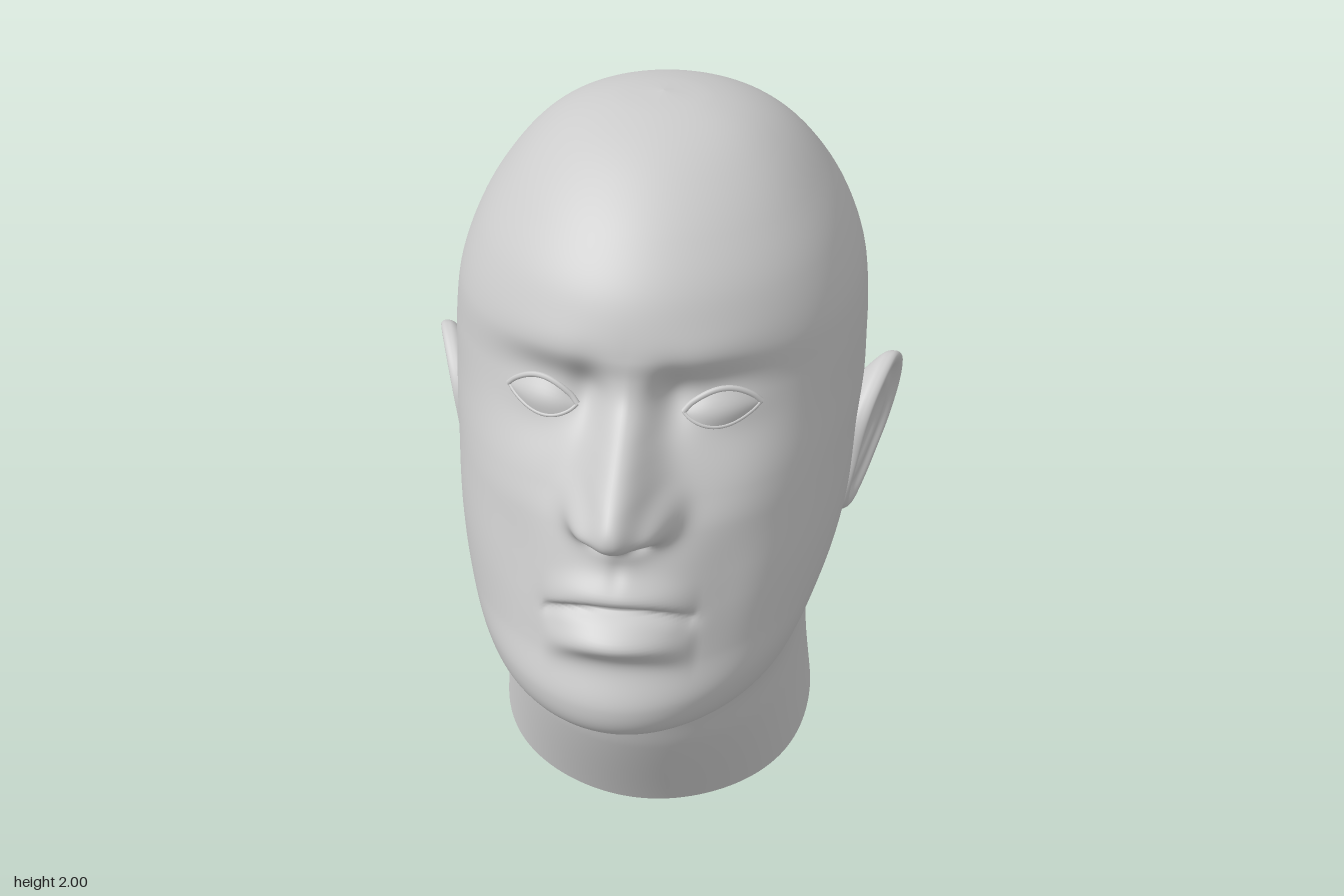
import * as THREE from 'three';
import { mergeVertices } from 'three/addons/utils/BufferGeometryUtils.js';

const material = new THREE.MeshStandardMaterial({ color: 0xcccccc, side: THREE.DoubleSide });
const gauss = (d, s) => Math.exp(-(d * d) / (s * s));

// Smooth skin over a grid of points: point(u, v) with u along a row, v from row to row
function loft(cols, rows, point) {
  const pos = [], index = [];
  for (let i = 0; i <= rows; i++)
    for (let j = 0; j <= cols; j++) pos.push(...point(j / cols, i / rows));
  for (let i = 0; i < rows; i++)
    for (let j = 0; j < cols; j++) {
      const a = i * (cols + 1) + j, b = a + 1, c = a + cols + 1, d = c + 1;
      index.push(a, b, d, a, d, c);
    }
  let g = new THREE.BufferGeometry();
  g.setAttribute('position', new THREE.Float32BufferAttribute(pos, 3));
  g.setIndex(index);
  g = mergeVertices(g, 1e-5);
  g.computeVertexNormals();
  return g;
}

// Smooth curve through rows of [key, ...values]
function spline(table) {
  const size = table[0].length - 1;
  const curve = new THREE.CubicInterpolant(table.map(r => r[0]), table.flatMap(r => r.slice(1)), size);
  return t => curve.evaluate(t);
}

// Head and neck rings: front y, front z, back y, back z, half width, z of the widest point
const rings = [
  [0.00, 0.39, 0.30, -0.40, 0.455, 0.00],
  [0.28, 0.50, 0.41, -0.40, 0.435, 0.00],
  [0.42, 0.54, 0.50, -0.408, 0.43, 0.00],
  [0.495, 0.60, 0.57, -0.427, 0.432, 0.01],
  [0.55, 0.76, 0.65, -0.47, 0.442, 0.03],
  [0.60, 0.84, 0.70, -0.52, 0.46, 0.03],
  [0.68, 0.86, 0.77, -0.60, 0.488, 0.02],
  [0.79, 0.815, 0.85, -0.685, 0.522, -0.02],
  [0.92, 0.782, 0.94, -0.762, 0.543, -0.06],
  [1.00, 0.757, 1.01, -0.797, 0.55, -0.08],
  [1.12, 0.705, 1.12, -0.832, 0.556, -0.10],
  [1.20, 0.655, 1.20, -0.848, 0.56, -0.10],
  [1.30, 0.605, 1.30, -0.858, 0.56, -0.10],
  [1.42, 0.563, 1.42, -0.858, 0.558, -0.10],
  [1.54, 0.55, 1.54, -0.83, 0.543, -0.11],
  [1.67, 0.50, 1.67, -0.758, 0.495, -0.12],
  [1.79, 0.40, 1.79, -0.645, 0.42, -0.12],
  [1.89, 0.275, 1.89, -0.49, 0.33, -0.11],
  [1.95, 0.165, 1.95, -0.35, 0.24, -0.09],
  [1.985, 0.05, 1.985, -0.215, 0.135, -0.08],
  [2.00, -0.0799, 2.00, -0.0801, 0.0001, -0.08],
];
// The rings are keyed by the distance travelled from one to the next
let travelled = 0;
const ringAt = spline(rings.map((r, i) => {
  if (i > 0) travelled += Math.hypot(...r.map((value, k) => value - rings[i - 1][k]));
  return [travelled, ...r];
}));

// Nose: y, height above the face, half width
const nose = spline([
  [1.00, 0, 0.07], [1.07, 0.018, 0.07], [1.105, 0.045, 0.075], [1.13, 0.105, 0.082],
  [1.16, 0.165, 0.088], [1.20, 0.198, 0.09], [1.25, 0.19, 0.085], [1.31, 0.14, 0.076],
  [1.36, 0.092, 0.07], [1.42, 0.035, 0.068], [1.48, 0.006, 0.068], [1.54, 0, 0.068],
]);

// Forward displacement of the face
function relief(x, y) {
  const ax = Math.abs(x);
  const spot = (cx, cy, sx, sy) => gauss(ax - cx, sx) * gauss(y - cy, sy);
  let d = 0;
  if (y > 1.0 && y < 1.54) {
    const [h, w] = nose(y);
    d += h * Math.exp(-((ax / w) ** 2.3));
  }
  // Nostrils
  d += 0.065 * spot(0.1, 1.17, 0.045, 0.05) - 0.035 * spot(0.052, 1.12, 0.03, 0.02);
  // Brow, socket, inner eye corner and lids
  d += 0.012 * spot(0.2, 1.54, 0.14, 0.06) - 0.052 * spot(0.2, 1.41, 0.14, 0.095);
  d += -0.03 * spot(0.105, 1.42, 0.05, 0.08) + 0.03 * spot(0.235, 1.395, 0.1, 0.06);
  // Cheekbone and hollow beside the mouth
  d += 0.015 * spot(0.33, 1.2, 0.12, 0.1) - 0.012 * spot(0.26, 0.98, 0.08, 0.14);
  // Lips and the line between them
  const k = Math.max(0, 1 - (x / 0.2) ** 2);
  const v = y - 0.942 + 0.036 * (ax / 0.18) ** 2.4;
  d += k * (0.032 * gauss(v - 0.042, 0.04) + 0.056 * gauss(v + 0.073, 0.046));
  d -= 0.026 * Math.sqrt(k) * gauss(v, 0.015) + 0.006 * spot(0.185, 0.9, 0.03, 0.03);
  // Groove above the upper lip
  d -= 0.006 * gauss(x, 0.022) * gauss(y - 1.04, 0.035);
  return d;
}

function headPoint(u, v) {
  const s = 2 * u - 1;
  const a = Math.PI * (0.42 * s + 0.58 * s ** 3); // more columns at the face
  const [yf, zf, yb, zb, w, zc] = ringAt(v * travelled);
  const c = Math.cos(a);
  const fullness = c > 0 ? 1 + 0.035 * Math.sin(2 * a) ** 2 : 1; // cheeks and temples
  const x = w * Math.sin(a) * fullness;
  let z = zc + c * (c > 0 ? zf - zc : zc - zb);
  const y = yb + (yf - yb) * (z - zb) / (zf - zb);
  if (c > 0) z += relief(x, y) * THREE.MathUtils.smoothstep(c, 0, 0.4);
  return [x, y, z];
}

// Ear: outline as [z, y], and section from the hollow over the rim to the back
const earOutline = new THREE.CatmullRomCurve3([
  [0.055, 1.0], [0.03, 1.11], [-0.03, 1.185], [-0.13, 1.238], [-0.205, 1.2], [-0.234, 1.11],
  [-0.2, 1.0], [-0.135, 0.92], [-0.07, 0.855], [0.0, 0.818], [0.055, 0.835], [0.07, 0.9],
].map(([z, y]) => new THREE.Vector3(0, y, z)), true);
const earSection = spline([
  [0, 0.001, -0.02], [1, 0.25, -0.021], [2, 0.45, -0.016], [3, 0.6, -0.004], [4, 0.74, -0.002],
  [5, 0.87, 0.012], [6, 0.96, 0.012], [7, 1.0, -0.006], [8, 0.95, -0.035], [9, 0.62, -0.09],
]);

function makeEar(side) {
  const cy = 1.03, cz = -0.07;
  return loft(64, 45, (u, v) => {
    const p = earOutline.getPoint(side > 0 ? u : 1 - u);
    const [r, dx] = earSection(v * 9);
    const y = cy + (p.y - cy) * r, z = cz + (p.z - cz) * r;
    return [side * (0.585 - 0.3 * (z + 0.06) + 0.14 * (y - cy) + dx), y, z];
  });
}

export function createModel() {
  const model = new THREE.Group();
  const add = (name, geometry, parent = model) => {
    const mesh = new THREE.Mesh(geometry, material);
    mesh.name = name;
    parent.add(mesh);
    return mesh;
  };

  const head = add('headAndNeck', loft(170, 300, headPoint));

  // Height of the face at a point, for seating the eyes
  const ray = new THREE.Raycaster();
  const back = new THREE.Vector3(0, 0, -1);
  const faceZ = (x, y) => {
    ray.set(new THREE.Vector3(x, y, 2), back);
    return ray.intersectObject(head)[0].point.z;
  };

  for (const side of [1, -1]) {
    const label = side > 0 ? 'left' : 'right';
    add(label + 'Ear', makeEar(side));

    // Almond-shaped eye with a thin lid along each edge
    const eye = new THREE.Group();
    eye.name = label + 'Eye';
    model.add(eye);
    const eyePoint = (u, v, lift) => {
      const round = Math.max(0, Math.sin(Math.PI * u));
      const x = side * (0.135 + 0.19 * u);
      const y = 1.383 + 0.01 * u + round ** 0.8 * THREE.MathUtils.lerp(-0.04, 0.05, v);
      return [x, y, faceZ(x, y) + lift + 0.014 * round * Math.sin(Math.PI * v)];
    };
    add(label + 'Eyeball', loft(16, 8, (u, v) => eyePoint(side > 0 ? u : 1 - u, v, 0.003)), eye);
    for (const [lid, v, radius] of [['LowerLid', 0, 0.005], ['UpperLid', 1, 0.008]]) {
      const points = [];
      for (let i = 0; i <= 12; i++) points.push(new THREE.Vector3(...eyePoint(i / 12, v, 0.002)));
      add(label + lid, new THREE.TubeGeometry(new THREE.CatmullRomCurve3(points), 32, radius, 8), eye);
    }
  }
  return model;
}
